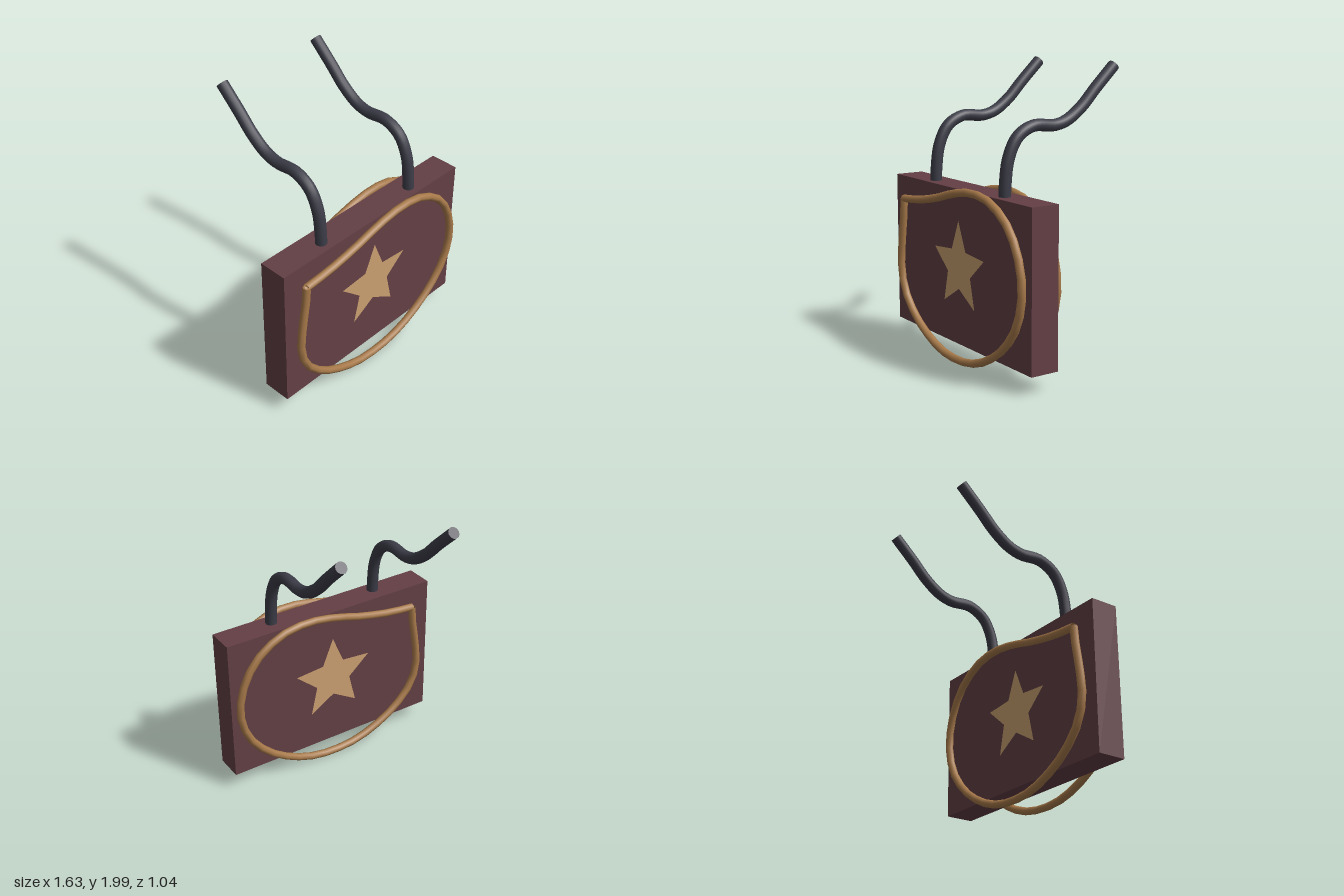
import * as THREE from 'three';

const mat = (name, color, side = THREE.FrontSide) => {
  const m = new THREE.MeshStandardMaterial({ color, side });
  m.name = name;
  return m;
};

export function createModel() {
  const group = new THREE.Group();
  const maroon = mat('maroon leather', 0x633f45);
  const gold = mat('pale gold', 0xcaa070);
  const tan = mat('tan cord', 0xa87a4a, THREE.DoubleSide);
  const charcoal = mat('charcoal', 0x3c3c48, THREE.DoubleSide);

  const add = (name, geometry, material, x = 0, y = 0, z = 0) => {
    const mesh = new THREE.Mesh(geometry, material);
    mesh.name = name;
    mesh.position.set(x, y, z);
    group.add(mesh);
    return mesh;
  };

  // Slab body
  add('body', new THREE.BoxGeometry(1.634, 1.05, 0.2), maroon, 0, 0.655, 0.36);

  // Five-pointed star on the front and the back
  const star = new THREE.Shape();
  for (let i = 0; i < 10; i++) {
    const r = i % 2 ? 0.143 : 0.315;
    const a = Math.PI / 2 + (i * Math.PI) / 5;
    star[i ? 'lineTo' : 'moveTo'](r * Math.cos(a), r * Math.sin(a));
  }
  star.closePath();
  const starGeometry = new THREE.ShapeGeometry(star);
  add('frontStar', starGeometry, gold, 0, 0.655, 0.463);
  add('backStar', starGeometry, gold, 0, 0.655, 0.257).rotation.y = Math.PI;

  // Cord outline with a pointed corner, one on each face
  const outline = [
    [-0.66, 1.03], [-0.45, 1.05], [-0.2, 1.1], [0, 1.155], [0.2, 1.183], [0.4, 1.16],
    [0.6, 1.045], [0.72, 0.87], [0.765, 0.65], [0.71, 0.43], [0.56, 0.245], [0.36, 0.115],
    [0.18, 0.052], [0, 0.035], [-0.18, 0.052], [-0.37, 0.12], [-0.54, 0.225],
    [-0.67, 0.375], [-0.715, 0.54], [-0.695, 0.75], [-0.667, 0.93], [-0.66, 1.03],
  ].map(([x, y]) => new THREE.Vector3(x, y, 0));
  const cord = new THREE.TubeGeometry(new THREE.CatmullRomCurve3(outline), 36, 0.027, 8);
  add('frontCord', cord, tan, 0, 0, 0.495);
  add('backCord', cord, tan, 0, 0, 0.23);

  // Curved straps rising from the top and sweeping backwards
  const path = new THREE.CatmullRomCurve3([
    [0.38, 1.14], [0.375, 1.26], [0.35, 1.42], [0.28, 1.55], [0.16, 1.612],
    [0, 1.605], [-0.1, 1.63], [-0.22, 1.71], [-0.34, 1.83], [-0.49, 1.972],
  ].map(([z, y]) => new THREE.Vector3(0, y, z)));
  const strap = new THREE.TubeGeometry(path, 40, 0.04, 12);
  const cap = new THREE.CircleGeometry(0.04, 12);
  const end = path.getPoint(1);
  const ahead = path.getTangent(1);
  for (const [side, x] of [['left', 0.415], ['right', -0.415]]) {
    add(side + 'Strap', strap, charcoal, x);
    add(side + 'StrapEnd', cap, charcoal, x, end.y, end.z)
      .quaternion.setFromUnitVectors(new THREE.Vector3(0, 0, 1), ahead);
  }

  return group;
}
